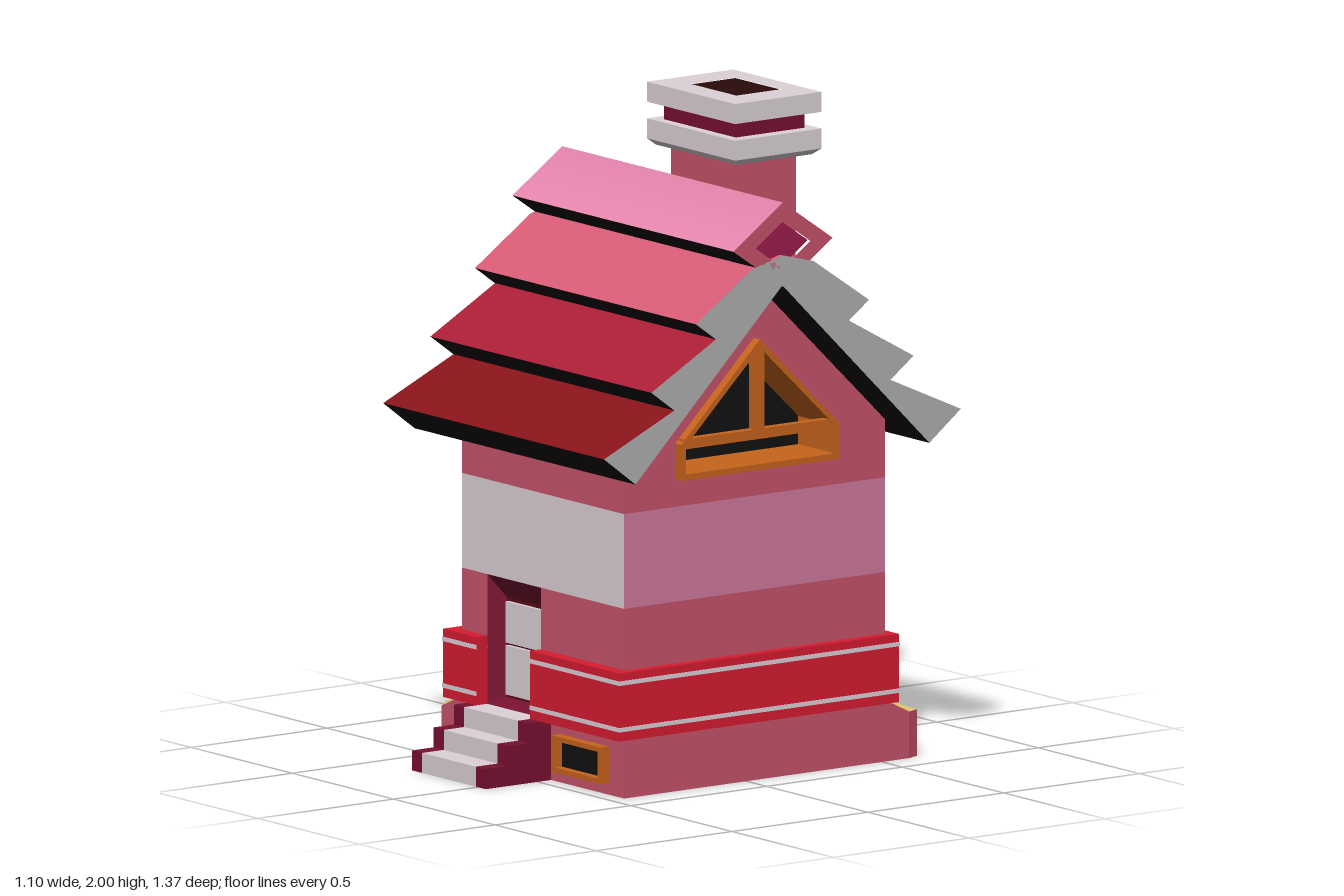
import * as THREE from 'three';

const C = { wall: 0xc8536b, cream: 0xdcd2d8, pink: 0xd07a9f, red: 0xd81c30, dark: 0x7a1030, maroon: 0x5a0c16,
  black: 0x111111, wood: 0xc8641c, yellow: 0xe8cb72, soot: 0x33100f, under: 0x14070a, end: 0xb0b0b0, magenta: 0x9c1c4c };
const mats = {};
const mat = (c, side = THREE.FrontSide) =>
  mats[c + '_' + side] ??= new THREE.MeshStandardMaterial({ color: c, side, flatShading: false });

export function createModel() {
  const model = new THREE.Group();
  const add = (name, geo, m) => {
    const mesh = new THREE.Mesh(geo, m);
    mesh.name = name;
    model.add(mesh);
    return mesh;
  };
  const box = (name, c, x0, x1, y0, y1, z0, z1) => {
    const m = Array.isArray(c) ? c.map(k => mat(k)) : mat(c);
    const b = add(name, new THREE.BoxGeometry(x1 - x0, y1 - y0, z1 - z0), m);
    b.position.set((x0 + x1) / 2, (y0 + y1) / 2, (z0 + z1) / 2);
    return b;
  };
  const outline = (pts, holes = []) => {
    const s = new THREE.Shape(pts.map(p => new THREE.Vector2(...p)));
    holes.forEach(h => s.holes.push(new THREE.Path(h.map(p => new THREE.Vector2(...p)))));
    return s;
  };
  const rect = (a0, a1, b0, b1) => [[a0, b0], [a1, b0], [a1, b1], [a0, b1]];
  // Extrudes a (z, y) profile along x
  const prism = (pts, x0, x1, holes = []) => {
    const flip = list => list.map(([z, y]) => [-z, y]);
    return new THREE.ExtrudeGeometry(outline(flip(pts), holes.map(flip)), { depth: x1 - x0, bevelEnabled: false })
      .rotateY(Math.PI / 2).translate(x0, 0, 0);
  };
  // Extrudes a (x, z) profile upwards
  const slab = (pts, y0, y1, holes = []) => {
    const flip = list => list.map(([x, z]) => [x, -z]);
    return new THREE.ExtrudeGeometry(outline(flip(pts), holes.map(flip)), { depth: y1 - y0, bevelEnabled: false })
      .rotateX(-Math.PI / 2).translate(0, y0, 0);
  };
  // Chooses one material per triangle from its normal
  const paint = (geo, rule) => {
    geo.clearGroups();
    const n = geo.attributes.normal;
    for (let i = 0; i < n.count; i += 3) geo.addGroup(i, 3, rule(n.getX(i), n.getY(i), n.getZ(i)));
    return geo;
  };
  // Flat-faced skin through rings of points
  const loft = (rings, closeBottom) => {
    const v = [], n = rings[0].length;
    for (let r = 0; r + 1 < rings.length; r++) for (let i = 0; i < n; i++) {
      const j = (i + 1) % n, [a, b, c, d] = [rings[r][i], rings[r][j], rings[r + 1][j], rings[r + 1][i]];
      v.push(...a, ...b, ...c, ...a, ...c, ...d);
    }
    if (closeBottom) for (let i = 1; i + 1 < n; i++) v.push(...rings[0][0], ...rings[0][i + 1], ...rings[0][i]);
    const g = new THREE.BufferGeometry();
    g.setAttribute('position', new THREE.Float32BufferAttribute(v, 3));
    g.computeVertexNormals();
    return g;
  };

  // Plinth with a sloping ledge on two sides
  const foot = [[.4, .45], [.4, -.6], [.385, -.64], [-.5, -.64], [-.55, -.59], [-.55, .4], [-.5, .45]];
  const ledge = [[.4, .45], [.4, -.52], [.385, -.53], [-.4, -.53], [-.42, -.51], [-.42, .43], [-.41, .45]];
  const level = (pts, y) => pts.map(([x, z]) => [x, y, z]);
  add('plinth', paint(loft([level(foot, 0), level(foot, .14), level(ledge, .18)], true), (x, y, z) =>
    y < -.5 ? 2 : y > .3 || (x < -.2 && Math.abs(z) > .2) ? 1 : 0), [mat(C.wall), mat(C.yellow), mat(C.maroon)]);

  // Walls, with an opening for the door
  const dx0 = -.275, dx1 = -.01;
  box('wallRight', C.wall, -.4, dx0, .17, .57, -.51, .45);
  box('wallLeft', C.wall, dx1, .4, .17, .57, -.51, .45);
  box('wallBehindDoor', C.wall, dx0, dx1, .17, .57, -.51, .38);
  box('wallStripe', [C.pink, C.pink, C.wall, C.wall, C.cream, C.cream], -.4, .4, .57, .855, -.51, .45);

  // Gable block and its deep attic window
  const gable = [[.45, .855], [-.51, .855], [-.51, 1.03], [-.028, 1.5], [.45, 1.035]];
  const atticOuter = [[.262, .937], [-.32, .937], [-.32, 1.045], [-.028, 1.33], [.262, 1.045]];
  const atticInner = [[.245, .955], [-.303, .955], [-.303, 1.04], [-.028, 1.305], [.245, 1.04]];
  add('gable', prism(gable, -.4, .24), mat(C.wall));
  add('gableFront', prism(gable, .24, .4, [atticOuter]), mat(C.wall));
  add('atticFrame', prism(atticOuter, .24, .43, [atticInner]), mat(C.wood));
  add('atticGlass', prism(atticOuter, .24, .25), mat(C.black));
  box('atticCrossbar', C.wood, .4, .428, 1.03, 1.06, -.31, .252);
  box('atticPost', C.wood, .4, .428, 1.045, 1.31, -.046, -.01);

  // Side window
  const win = (z0, z1, y0, y1) => rect(z0, z1, y0, y1);
  add('sideWindowFrame', prism(win(-.37, .32, .61, .81), -.415, -.39, [win(-.343, .293, .637, .783)]), mat(C.wood));
  box('sideWindowGlass', C.black, -.403, -.39, .63, .79, -.35, .3);

  // Basement window
  const cellar = new THREE.ExtrudeGeometry(outline(rect(.085, .325, .035, .145), [rect(.1, .31, .05, .13)]),
    { depth: .035, bevelEnabled: false });
  add('basementWindowFrame', cellar.translate(0, 0, .445), mat(C.wood));
  box('basementWindowGlass', C.black, .095, .315, .045, .135, .445, .455);

  // Red belt around the house with thin cream lines, open at the door
  const belt = (name, c, y0, y1, o) => {
    box(name + 'Back', c, -.44 - o, .43 + o, y0, y1, -.54 - o, -.5);
    box(name + 'Left', c, .39, .43 + o, y0, y1, -.5, .44);
    box(name + 'Right', c, -.44 - o, -.39, y0, y1, -.5, .44);
    box(name + 'FrontLeft', c, dx1, .43 + o, y0, y1, .44, .49 + o);
    box(name + 'FrontRight', c, -.44 - o, dx0, y0, y1, .44, .49 + o);
  };
  belt('belt', C.red, .18, .385, 0);
  for (const y of [.208, .348]) belt('beltLine', C.cream, y, y + .013, .002);

  // Pilaster on the back wall
  box('pilaster', [C.maroon, C.maroon, C.red, C.red, C.red, C.red], -.285, -.07, .38, 1.0, -.54, -.5);
  for (const x of [-.262, -.105]) box('pilasterLine', C.cream, x, x + .013, .385, 1.0, -.542, -.53);

  // Door in a splayed recess
  const opening = (x0, x1, y0, y1, z) => [[x0, y0, z], [x1, y0, z], [x1, y1, z], [x0, y1, z]];
  add('doorRecess', loft([opening(dx0, dx1, .18, .57, .45), opening(-.245, -.05, .2, .5, .4)]),
    mat(C.dark, THREE.DoubleSide));
  box('doorBack', C.maroon, -.25, -.045, .19, .51, .38, .4);
  box('doorLower', C.cream, -.235, -.058, .21, .358, .39, .412);
  box('doorUpper', C.cream, -.235, -.058, .366, .49, .39, .412);

  // Front steps between two stepped cheeks
  const steps = [[.44, 0], [.69, 0], [.69, .06], [.61, .06], [.61, .12], [.535, .12], [.535, .18], [.44, .18]];
  add('steps', prism(steps, dx0, dx1), mat(C.cream));
  add('stepCheekRight', prism(steps, -.325, dx0), mat(C.dark));
  add('stepCheekLeft', prism(steps, dx1, .04), mat(C.dark));

  // Overlapping roof courses, mirrored about the ridge
  const courses = [
    [0x8a141b, [[.632, 1.063], [.516, .974], [.308, 1.18], [.373, 1.18]]],
    [0xad1f38, [[.458, 1.243], [.373, 1.18], [.308, 1.18], [.11, 1.376], [.22, 1.376]]],
    [0xd85c76, [[.294, 1.43], [.22, 1.376], [.11, 1.376], [-.025, 1.51], [-.025, 1.6], [.09, 1.57]]],
  ];
  const byFace = (x, y) => Math.abs(x) > .9 ? 0 : y > .2 ? 1 : 2;
  for (const [color, pts] of courses) for (const back of [false, true]) {
    const p = back ? pts.map(([z, y]) => [-.05 - z, y]) : pts;
    add(back ? 'roofCourseBack' : 'roofCourseFront', paint(prism(p, -.545, .545), byFace),
      [mat(C.end), mat(color), mat(C.under)]);
  }

  // Diamond ridge cap, softly shaded over the top, with inset ends
  const diamond = k => [[-.027 + .183 * k, 1.632], [-.027, 1.632 + .127 * k], [-.027 - .183 * k, 1.632], [-.027, 1.632 - .127 * k]];
  const cap = paint(prism(diamond(1), -.545, .545, [diamond(.55)]), (x, y, z) => Math.abs(x) > .9 ? 0 : y > .2 ? 1 : 2);
  const pos = cap.attributes.position, nor = cap.attributes.normal;
  for (let i = 0; i < pos.count; i++) if (pos.getY(i) > 1.75 && nor.getY(i) > .2) nor.setXYZ(i, 0, 1, 0);
  add('ridgeCap', cap, [mat(C.wall), mat(0xe887b0), mat(C.under)]);
  add('ridgeCore', prism(diamond(.56), -.53, .53), mat(C.magenta));
  add('ridgeEndRing', prism(diamond(.8), -.548, -.54, [diamond(.45)]), mat(C.end));

  // Chimney: slightly tapered shaft, two collars, neck and flue
  const flue = rect(-.095, .13, -.33, -.165);
  const ring = (x0, x1, z0, z1, y) => [[x1, y, z1], [x1, y, z0], [x0, y, z0], [x0, y, z1]];
  add('chimneyShaft', loft([ring(-.14, .17, -.352, -.13, 1.3), ring(-.14, .17, -.355, -.125, 1.82)]), mat(C.wall));
  add('chimneyCollarFlare', loft([ring(-.18, .215, -.38, -.1, 1.812), ring(-.2, .235, -.4, -.082, 1.83)], true), mat(C.cream));
  add('chimneyLowerCollar', slab(rect(-.2, .235, -.4, -.082), 1.83, 1.89, [flue]), mat(C.cream));
  add('chimneyNeck', slab(rect(-.16, .195, -.368, -.114), 1.89, 1.94, [flue]), mat(C.dark));
  add('chimneyUpperCollar', slab(rect(-.2, .235, -.4, -.082), 1.94, 2, [flue]), mat(C.cream));
  const lining = box('chimneyFlue', C.soot, -.093, .128, 1.82, 1.999, -.328, -.167);
  lining.material = mat(C.soot, THREE.BackSide);
  return model;
}
